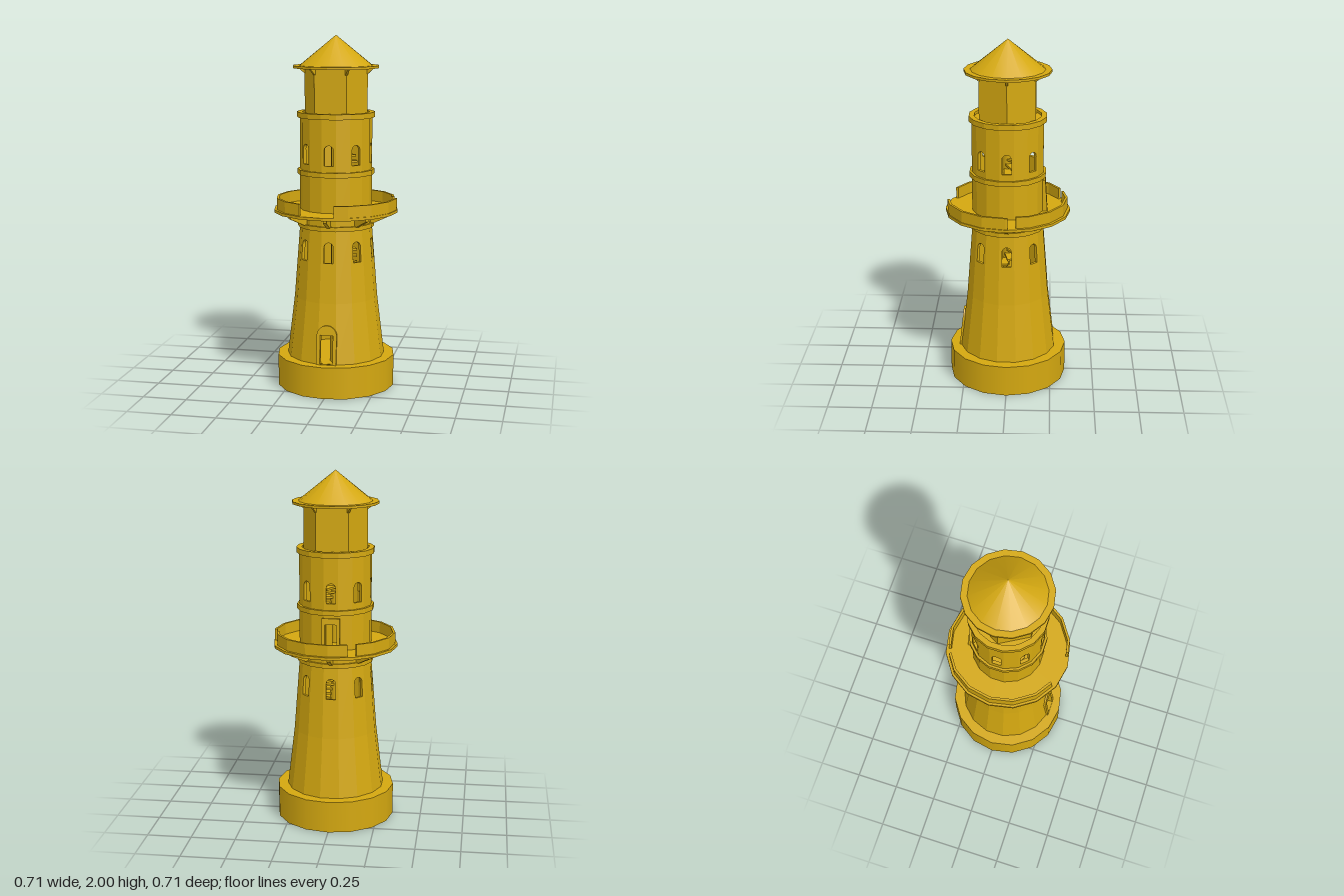
import * as THREE from 'three';

const SIDES = 16, STEP = Math.PI / 8, HALF = Math.PI / 16;

export function createModel() {
  const model = new THREE.Group();
  const gold = new THREE.MeshStandardMaterial({ color: 0xd4a810 });
  gold.name = 'gold';

  const add = (name, geometry, parent = model) => {
    const mesh = new THREE.Mesh(geometry, gold);
    mesh.name = name;
    parent.add(mesh);
    return mesh;
  };
  const addGroup = (name) => {
    const g = new THREE.Group();
    g.name = name;
    model.add(g);
    return g;
  };
  const flat = (g) => {
    const f = g.index ? g.toNonIndexed() : g;
    f.computeVertexNormals();
    return f;
  };
  const disc = (r, y0, y1, sides = SIDES, turn = 0) =>
    new THREE.CylinderGeometry(r, r, y1 - y0, sides).rotateY(turn).translate(0, (y0 + y1) / 2, 0);
  // Faceted hollow ring; ro is the distance to the middle of a facet
  const ring = (ri, ro, y0, y1) => {
    const k = 1 / Math.cos(HALF);
    const pts = [[ri, y0], [ro, y0], [ro, y1], [ri, y1], [ri, y0]].map(([r, y]) => new THREE.Vector2(r * k, y));
    return flat(new THREE.LatheGeometry(pts, SIDES).rotateY(HALF));
  };
  // Arched (or square-topped) outline
  const opening = (path, w, y0, y1, arched = true) => {
    path.moveTo(-w, y0);
    path.lineTo(w, y0);
    if (arched) {
      path.lineTo(w, y1 - w);
      path.absarc(0, y1 - w, w, 0, Math.PI, false);
    } else {
      path.lineTo(w, y1);
      path.lineTo(-w, y1);
    }
    path.closePath();
    return path;
  };
  // Plate leaning from radius r0 at y0 to r1 at y1, outer face on that plane
  const lean = (shape, depth, y0, r0, y1, r1, angle) =>
    new THREE.ExtrudeGeometry(shape, { depth, bevelEnabled: false, curveSegments: 8 })
      .translate(0, 0, -depth)
      .rotateX(-Math.atan2(r0 - r1, y1 - y0))
      .translate(0, y0, r0)
      .rotateY(angle);

  // One storey of wall: sixteen flat panels, some with openings
  const wall = (name, y0, r0, y1, r1, holeFor) => {
    const g = addGroup(name);
    const len = Math.hypot(y1 - y0, r0 - r1), w0 = r0 * Math.tan(HALF), w1 = r1 * Math.tan(HALF);
    for (let i = 0; i < SIDES; i++) {
      const s = new THREE.Shape();
      s.moveTo(-w0, 0);
      s.lineTo(w0, 0);
      s.lineTo(w1, len);
      s.lineTo(-w1, len);
      s.closePath();
      const hole = holeFor(i);
      if (hole) s.holes.push(hole);
      add('wallPanel', lean(s, 0.018, y0, r0, y1, r1, i * STEP), g);
    }
  };
  const windowHole = (y0, y1) => (i) => (i % 2 ? null : opening(new THREE.Path(), 0.026, y0, y1));

  // Base and tower
  add('base', disc(0.337, 0, 0.18));
  wall('lowerWall', 0.18, 0.272, 0.52, 0.232, (i) =>
    i === 0 ? opening(new THREE.Path(), 0.036, 0.004, 0.167, false) : null);
  wall('middleWall', 0.52, 0.232, 0.94, 0.2, windowHole(0.227, 0.342));
  wall('deckWall', 0.94, 0.2, 1.24, 0.2, (i) =>
    i === 8 ? opening(new THREE.Path(), 0.033, 0.088, 0.235, false) : null);
  wall('upperWall', 1.24, 0.2, 1.56, 0.2, windowHole(0.05, 0.162));

  // Trim rings
  add('lowerRing', ring(0.19, 0.212, 0.925, 0.95));
  add('middleRing', ring(0.19, 0.213, 1.225, 1.253));
  add('topRing', ring(0.185, 0.215, 1.545, 1.575));
  add('upperFloor', disc(0.195, 1.545, 1.56, SIDES, HALF));

  // Front door
  const frontFrame = opening(new THREE.Shape(), 0.057, 0, 0.222);
  frontFrame.holes.push(opening(new THREE.Path(), 0.036, 0.004, 0.167, false));
  add('frontDoorFrame', lean(frontFrame, 0.03, 0.18, 0.282, 0.52, 0.244, 0));
  const leaf = (name, y, z, h, turn) => {
    const door = add(name, new THREE.BoxGeometry(0.066, h, 0.008).translate(-0.033, h / 2, 0));
    door.position.set(0.034, y, z);
    door.rotation.y = turn;
  };
  leaf('frontDoor', 0.18, 0.235, 0.165, -1.1);

  // Back door onto the gallery
  const backFrame = opening(new THREE.Shape(), 0.05, 0, 0.185, false);
  backFrame.holes.push(opening(new THREE.Path(), 0.033, 0.004, 0.15, false));
  add('backDoorFrame', lean(backFrame, 0.032, 1.025, 0.224, 1.21, 0.212, Math.PI));
  leaf('backDoor', 1.025, -0.185, 0.15, 1.1);

  // Gallery deck on eight brackets
  add('galleryDeck', flat(disc(0.354, 1.01, 1.026)));
  const profile = new THREE.Shape(
    [[0.185, 0.945], [0.215, 0.945], [0.31, 0.99], [0.31, 1.012], [0.185, 1.012]].map(([x, y]) => new THREE.Vector2(x, y)));
  const brackets = addGroup('galleryBrackets');
  for (let i = 0; i < 8; i++) {
    add('galleryBracket', new THREE.ExtrudeGeometry(profile, { depth: 0.02, bevelEnabled: false })
      .translate(0, 0, -0.01).rotateY(i * Math.PI / 4), brackets);
  }

  // Gallery parapet in three lengths with gaps between; angles run from +z to +x
  const parapet = addGroup('parapet');
  const parapetPiece = (from, to, R) => {
    const a0 = from * Math.PI / 180, a1 = to * Math.PI / 180, angles = [a0];
    for (let k = Math.ceil(a0 / STEP); k * STEP < a1; k++) angles.push(k * STEP);
    angles.push(a1);
    const at = (a, r) => {
      const off = a - (Math.floor(a / STEP) + 0.5) * STEP;
      const d = r * Math.cos(HALF) / Math.cos(off);
      return new THREE.Vector2(d * Math.sin(a), -d * Math.cos(a));
    };
    const pts = [...angles.map((a) => at(a, R)), ...angles.reverse().map((a) => at(a, R - 0.014))];
    add('parapetPiece', new THREE.ExtrudeGeometry(new THREE.Shape(pts), { depth: 0.066, bevelEnabled: false })
      .rotateX(-Math.PI / 2).translate(0, 1.025, 0), parapet);
  };
  parapetPiece(9.2, 91.7, 0.349);
  parapetPiece(99.5, 198.4, 0.338);
  parapetPiece(207, 334.6, 0.34);

  // Spiral stair inside
  const stair = addGroup('spiralStair');
  add('stairColumn', disc(0.03, 0.18, 1.55, 8), stair);
  for (let i = 0; i < 44; i++) {
    add('stairStep', new THREE.BoxGeometry(0.1, 0.012, 0.045)
      .translate(0.07, 0.21 + i * 0.03, 0).rotateY(i * 0.36), stair);
  }

  // Six-sided lantern room with corner brackets under the eaves
  add('lanternRoom', flat(disc(0.18, 1.555, 1.82, 6, Math.PI / 6)));
  const eave = new THREE.Shape(
    [[0.165, 1.785], [0.18, 1.785], [0.218, 1.82], [0.165, 1.82]].map(([x, y]) => new THREE.Vector2(x, y)));
  const eaves = addGroup('eaveBrackets');
  for (let i = 0; i < 6; i++) {
    add('eaveBracket', new THREE.ExtrudeGeometry(eave, { depth: 0.012, bevelEnabled: false })
      .translate(0, 0, -0.006).rotateY(i * Math.PI / 3), eaves);
  }

  // Roof
  add('roofBrim', flat(disc(0.243, 1.818, 1.832)));
  add('roof', new THREE.ConeGeometry(0.21, 0.17, SIDES).translate(0, 1.915, 0));

  return model;
}
